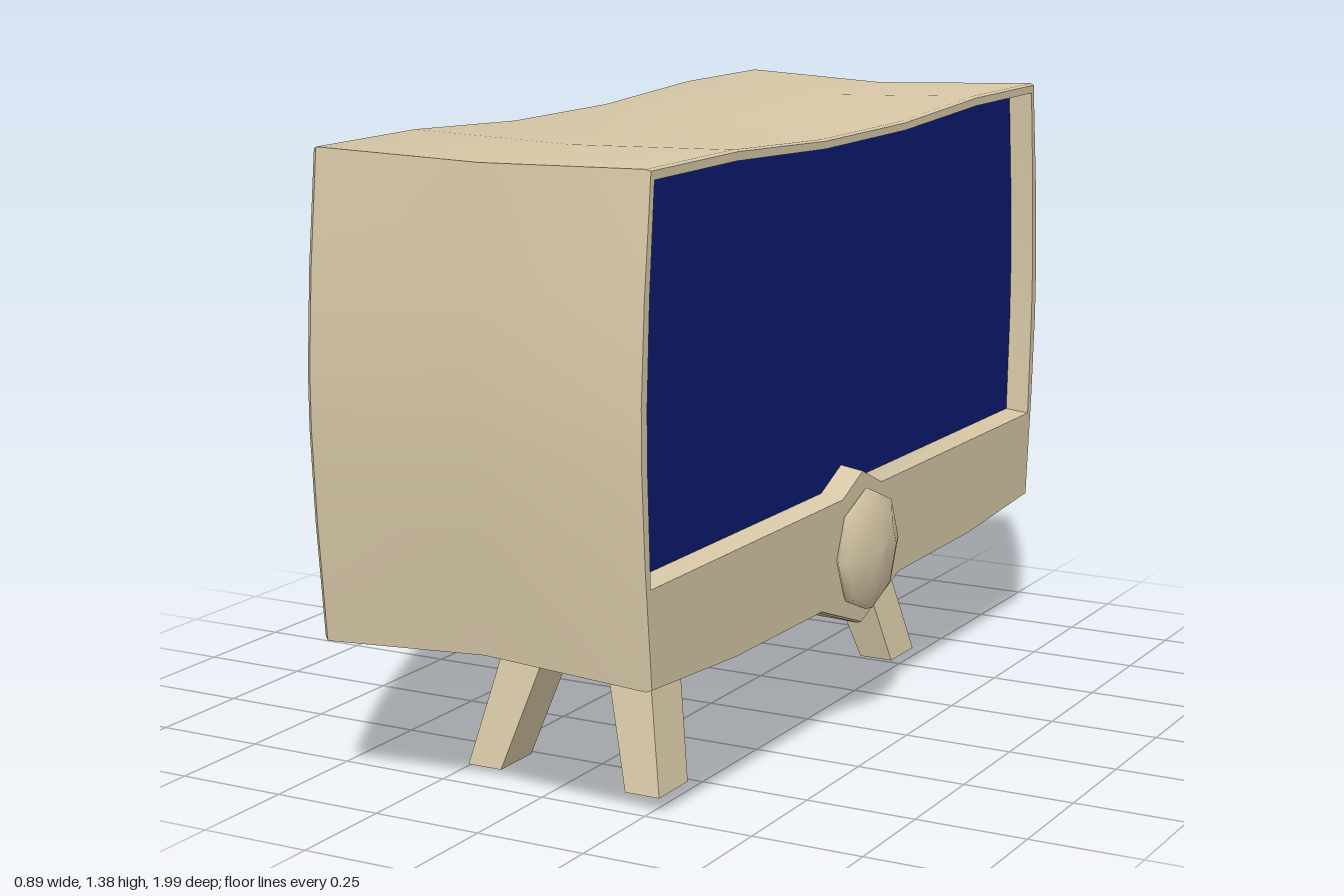
import * as THREE from 'three';
import { toCreasedNormals } from 'three/addons/utils/BufferGeometryUtils.js';

const CY = 0.85; // height of the cabinet's centre
const tan = new THREE.MeshStandardMaterial({ color: 0xd6c7a6 });
const blue = new THREE.MeshStandardMaterial({ color: 0x0c1a70 });

// Outlines in [z, y], listed from the top centre down the +z side, then mirrored.
const mirror = half => [...half, ...half.slice(1, -1).reverse().map(([z, y]) => [-z, y])];
const cabinetOutline = mirror([[0, 1.357], [0.2, 1.357], [0.6, 1.377], [0.955, 1.377], [0.983, 1.13],
  [0.997, 0.92], [0.997, 0.8], [0.985, 0.6], [0.96, 0.343], [0.6, 0.32], [0.2, 0.317], [0, 0.245]]);
const openingOutline = mirror([[0, 1.337], [0.2, 1.337], [0.6, 1.355], [0.936, 1.355], [0.957, 1.13],
  [0.968, 0.92], [0.968, 0.8], [0.957, 0.552], [0.1, 0.552], [0, 0.597]]);

const scaled = (outline, kz, ky = kz) => outline.map(([z, y]) => [z * kz, CY + (y - CY) * ky]);

// Skin between sections { x, pts }; faces outward when x increases.
function loft(sections, crease = 0.75) {
  const n = sections[0].pts.length, pos = [], idx = [];
  sections.forEach(({ x, pts }) => pts.forEach(([z, y]) => pos.push(x, y, z)));
  for (let j = 0; j < sections.length - 1; j++) {
    for (let i = 0; i < n; i++) {
      const a = j * n + i, b = j * n + (i + 1) % n;
      idx.push(a, b, b + n, a, b + n, a + n);
    }
  }
  const g = new THREE.BufferGeometry();
  g.setAttribute('position', new THREE.Float32BufferAttribute(pos, 3));
  g.setIndex(idx);
  return toCreasedNormals(g, crease);
}

// Flat face looking along +x, with an optional hole.
function face(outline, x, hole) {
  const toVec = ([z, y]) => new THREE.Vector2(-z, y);
  const shape = new THREE.Shape(outline.map(toVec));
  if (hole) shape.holes.push(new THREE.Path(hole.map(toVec)));
  return new THREE.ShapeGeometry(shape).rotateY(Math.PI / 2).translate(x, 0, 0);
}

function createModel() {
  const root = new THREE.Group();
  root.name = 'television';
  const add = (name, geometry, material = tan, parent = root) => {
    const mesh = new THREE.Mesh(geometry, material);
    mesh.name = name;
    parent.add(mesh);
    return mesh;
  };

  // Cabinet shell: pinched at the waist, with small bevels at both ends
  const frontX = 0.384;
  add('cabinet', loft([[-0.402, 0.99, 0.99], [-0.39, 1, 1], [-0.02, 0.97, 0.975], [0.374, 1, 1], [frontX, 0.994, 0.993]]
    .map(([x, kz, ky]) => ({ x, pts: scaled(cabinetOutline, kz, ky) }))));

  // Bulging back panel
  add('backPanel', loft([[-0.445, 0], [-0.444, 0.3], [-0.438, 0.6], [-0.42, 0.82], [-0.402, 0.99]]
    .map(([x, k]) => ({ x, pts: scaled(cabinetOutline, k) }))));

  // Front frame with the control panel below the opening
  add('frontFrame', face(scaled(cabinetOutline, 0.994, 0.993), frontX, openingOutline));

  // Recess walls and screen
  const screenOutline = openingOutline.map(([z, y]) => [z * 0.99, y > 0.7 ? y - 0.008 : y + 0.008]);
  const screenX = 0.33;
  add('screenRecess', loft([{ x: frontX, pts: openingOutline }, { x: screenX, pts: screenOutline }]));
  add('screen', face(screenOutline, screenX), blue);

  // Eight-sided domed knob
  const knobProfile = [[0.125, 0], [0.14, 0.012], [0.135, 0.03], [0.075, 0.053], [0, 0.06]]
    .map(([r, h]) => new THREE.Vector2(r, h));
  const knob = add('knob', new THREE.LatheGeometry(knobProfile, 8));
  knob.rotation.z = -Math.PI / 2;
  knob.position.set(0.381, 0.42, 0);

  // Four tapered, splayed legs, skewed from straight boxes
  const legs = new THREE.Group();
  legs.name = 'legs';
  root.add(legs);
  const legTop = 0.345;
  for (const sx of [-1, 1]) {
    for (const sz of [-1, 1]) {
      const g = new THREE.BoxGeometry(1, legTop, 1).translate(0, legTop / 2, 0);
      const p = g.attributes.position;
      for (let i = 0; i < p.count; i++) {
        const t = p.getY(i) / legTop;
        p.setX(i, -0.017 + sx * (0.197 - 0.09 * t) + p.getX(i) * (0.083 + 0.03 * t));
        p.setZ(i, sz * (0.577 - 0.085 * t) + p.getZ(i) * (0.125 + 0.005 * t));
      }
      g.computeVertexNormals();
      add(`${sz > 0 ? 'left' : 'right'}${sx > 0 ? 'Screen' : 'Rear'}SideLeg`, g, tan, legs);
    }
  }
  return root;
}

export { createModel };
